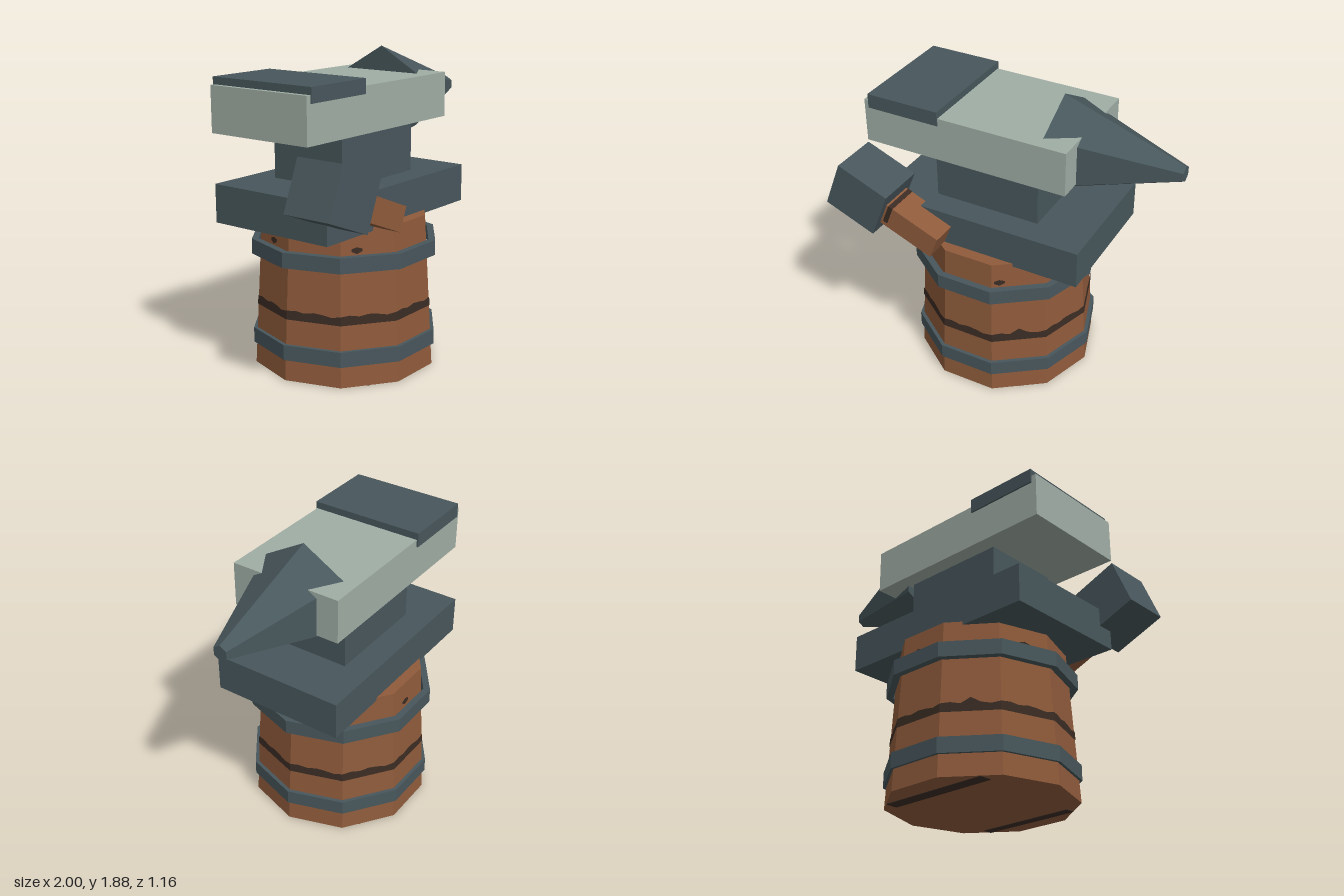
import * as THREE from 'three';

export function createModel() {
  const model = new THREE.Group();
  const mat = (name, color) => {
    const m = new THREE.MeshStandardMaterial({ color, flatShading: true });
    m.name = name;
    return m;
  };
  const wood = mat('wood', 0x8f5b3b);
  const iron = mat('dark iron', 0x48575c);
  const steel = mat('pale steel', 0xa0aea5);
  const stain = mat('dark stain', 0x3a2c24);

  const add = (name, geometry, material, parent = model) => {
    const mesh = new THREE.Mesh(geometry, material);
    mesh.name = name;
    parent.add(mesh);
    return mesh;
  };
  // Box from its lower and upper limits on each axis
  const box = (name, material, [x0, x1], [y0, y1], [z0, z1], parent = model) => {
    const mesh = add(name, new THREE.BoxGeometry(x1 - x0, y1 - y0, z1 - z0), material, parent);
    mesh.position.set((x0 + x1) / 2, (y0 + y1) / 2, (z0 + z1) / 2);
    return mesh;
  };

  // Ten-sided tapered barrel
  const SIDES = 10, H = 0.93, R0 = 0.562, R1 = 0.507;
  const barrel = new THREE.Group();
  barrel.name = 'barrel';
  barrel.position.set(-0.105, 0, -0.035);
  model.add(barrel);
  add('barrelBody', new THREE.CylinderGeometry(R1, R0, H, SIDES, 1, false, Math.PI / 2), wood, barrel)
    .position.y = H / 2;

  // Iron hoops
  for (const y of [0.13, 0.69]) {
    const profile = [[0.53, 0], [0.572, 0], [0.572, 0.092], [0.53, 0.092], [0.53, 0]]
      .map(([r, h]) => new THREE.Vector2(r, y + h));
    add('hoop', new THREE.LatheGeometry(profile, SIDES, Math.PI / 2), iron, barrel);
  }

  // Thin stains lying on the staves; f runs 0..1 across stave k
  const onStave = (k, f, y) => {
    const r = R0 + (R1 - R0) * y / H + 0.004;
    const a = k * 2 * Math.PI / SIDES, b = (k + 1) * 2 * Math.PI / SIDES;
    return [
      r * (Math.cos(a) * (1 - f) + Math.cos(b) * f), y,
      r * (Math.sin(a) * (1 - f) + Math.sin(b) * f)];
  };
  const patches = (name, list) => {
    const pos = [];
    for (const [k, f0, f1, low0, low1, top0, top1] of list) {
      const a = onStave(k, f0, low0), b = onStave(k, f0, top0);
      const c = onStave(k, f1, top1), d = onStave(k, f1, low1);
      pos.push(...a, ...b, ...c, ...a, ...c, ...d);
    }
    const g = new THREE.BufferGeometry();
    g.setAttribute('position', new THREE.Float32BufferAttribute(pos, 3));
    g.computeVertexNormals();
    add(name, g, stain, barrel);
  };
  const wave = [0.425, 0.415, 0.425, 0.43, 0.42, 0.43, 0.425];
  const band = [], spots = [];
  for (let k = 0; k < SIDES; k++) {
    for (let i = 0; i < 6; i++) {
      const bump = j => wave[j] + (k % 5 === 1 && j === 3 ? 0.025 : 0);
      band.push([k, i / 6, (i + 1) / 6, 0.372, 0.372, bump(i), bump(i + 1)]);
    }
  }
  [0.85, 0.7, 0.5, 0.6, 0.32].forEach((f, i) => {
    const k = 2 * i + 1;
    spots.push([k, f - 0.1, f, 0.8, 0.785, 0.815, 0.825], [k, f, f + 0.1, 0.785, 0.8, 0.825, 0.815]);
  });
  patches('stainBand', band);
  patches('stainSpots', spots);
  box('bottomStain', stain, [-0.36, 0.36], [0, 0.004], [-0.4, -0.32], barrel).position.y = -0.001;
  box('bottomStain', stain, [-0.32, 0.32], [0, 0.004], [0.37, 0.43], barrel).position.y = -0.001;

  // Anvil
  box('anvilBase', iron, [-0.77, 0.56], [0.91, 1.14], [-0.455, 0.375]);
  box('anvilWaist', iron, [-0.44, 0.23], [1.14, 1.46], [-0.29, 0.215]);
  box('anvilBody', steel, [-0.85, 0.445], [1.455, 1.725], [-0.385, 0.313]);
  box('anvilTopPlate', iron, [-0.82, -0.357], [1.68, 1.768], [-0.395, 0.32]);

  // Six-sided horn, one corner pointing up
  const horn = new THREE.CylinderGeometry(0.048, 0.307, 0.735, 6);
  horn.rotateY(Math.PI / 2).rotateZ(-Math.PI / 2);
  add('horn', horn, iron).position.set(0.6325, 1.57, -0.036);

  // Hammer leaning on the base
  const hammer = new THREE.Group();
  hammer.name = 'hammer';
  hammer.position.set(-0.78, 1.2, 0.425);
  hammer.rotation.z = -0.385;
  model.add(hammer);
  box('hammerHead', iron, [-0.172, 0.172], [-0.155, 0.155], [-0.153, 0.153], hammer);
  box('hammerHandle', wood, [0, 0.537], [-0.087, 0.063], [-0.105, 0.105], hammer);
  box('handleStain', stain, [0.185, 0.215], [-0.06, 0.065], [-0.107, 0.107], hammer);

  return model;
}
